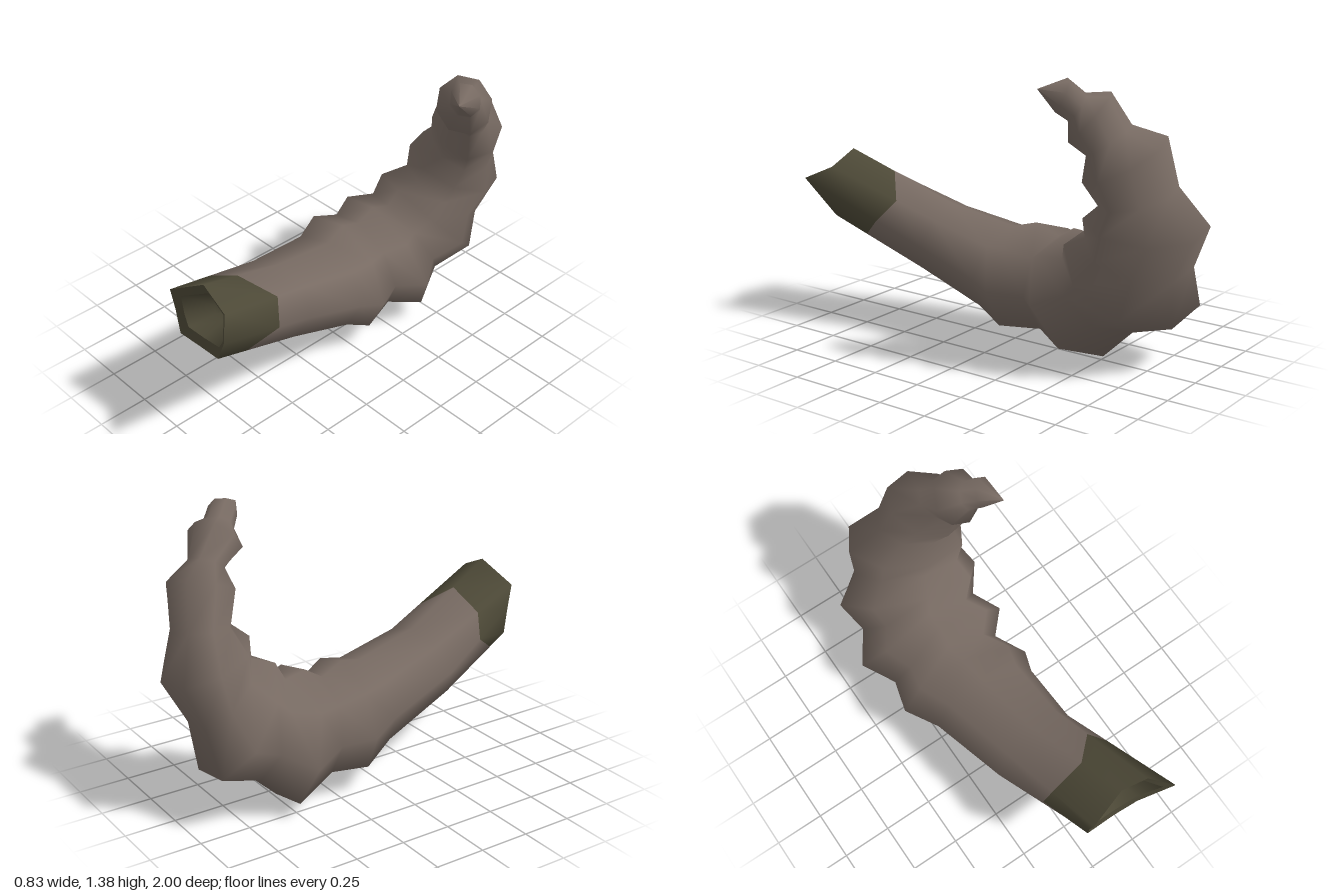
import * as THREE from 'three';

const SIDES = 8;
const hornColour = new THREE.MeshStandardMaterial({ color: 0x776a62 });
hornColour.name = 'horn brown';
const rimColour = new THREE.MeshStandardMaterial({ color: 0x4d4937 });
rimColour.name = 'rim olive';

// Each ring: inner-curve z, y, outer-curve z, y, centre x, then the sideways half axis x, y, z.
const RINGS = [
  [0.36, 0.64, 0.46, 0.28, 0.03, 0.225, 0, -0.03],
  [0.02, 0.57, 0.08, 0.145, -0.01, 0.275, 0, 0.01],
  [-0.1, 0.6, -0.08, 0.06, -0.035, 0.34, 0, 0.04],
  [-0.22, 0.55, -0.28, 0.085, -0.05, 0.28, 0, 0.04],
  [-0.31, 0.605, -0.485, 0.003, -0.04, 0.375, 0.02, 0.075],
  [-0.41, 0.575, -0.65, 0.16, -0.03, 0.285, 0.01, 0.08],
  [-0.45, 0.66, -0.87, 0.23, -0.005, 0.345, 0.02, 0.1],
  [-0.55, 0.69, -0.89, 0.46, 0.04, 0.26, 0, 0.08],
  [-0.54, 0.79, -1.0, 0.67, 0.07, 0.28, -0.02, 0.07],
  [-0.61, 0.85, -0.91, 0.87, 0.13, 0.185, -0.04, 0.03],
  [-0.55, 0.97, -0.89, 1.09, 0.185, 0.19, -0.075, 0.02],
  [-0.58, 1.07, -0.75, 1.16, 0.23, 0.11, -0.045, 0.01],
  [-0.49, 1.12, -0.69, 1.31, 0.27, 0.13, -0.05, -0.03],
  [-0.5, 1.21, -0.6, 1.31, 0.31, 0.065, -0.03, -0.03],
  [-0.46, 1.25, -0.54, 1.375, 0.355, 0.06, -0.035, -0.035],
  [-0.405, 1.335, -0.405, 1.335, 0.4, 0, 0, 0],
];

const points = (list) => list.map((p) => new THREE.Vector3(...p));

// Ragged mouth edge, clockwise from the top as seen from the front
const rimOuter = points([
  [0.15, 0.87, 0.9], [0.3, 0.8, 0.91], [0.4, 0.75, 1.0], [0.26, 0.54, 0.93],
  [0.13, 0.52, 0.92], [-0.02, 0.51, 0.92], [-0.03, 0.65, 0.93], [-0.03, 0.77, 0.95],
]);
const rimInner = points([
  [0.17, 0.83, 0.89], [0.28, 0.78, 0.9], [0.355, 0.72, 0.97], [0.26, 0.6, 0.92],
  [0.14, 0.575, 0.91], [0.03, 0.57, 0.91], [0.02, 0.65, 0.92], [0.02, 0.75, 0.93],
]);

// Turns the ring table into loops of points lying across the horn's path
function hornLoops() {
  return RINGS.map(([zi, yi, zo, yo, x, ...axis]) => {
    const centre = new THREE.Vector3(x, (yi + yo) / 2, (zi + zo) / 2);
    const up = new THREE.Vector3(0, (yi - yo) / 2, (zi - zo) / 2);
    const side = new THREE.Vector3(...axis);
    return Array.from({ length: SIDES }, (_, k) => {
      const a = (k / SIDES) * Math.PI * 2;
      return centre.clone()
        .addScaledVector(up, Math.cos(a)).addScaledVector(side, Math.sin(a));
    });
  });
}

// Skins a series of loops with smooth normals
function loft(loops) {
  const index = [];
  for (let i = 0; i < loops.length - 1; i++) {
    for (let k = 0; k < SIDES; k++) {
      const a = i * SIDES + k;
      const b = i * SIDES + ((k + 1) % SIDES);
      index.push(a, b, b + SIDES, a, b + SIDES, a + SIDES);
    }
  }
  const geometry = new THREE.BufferGeometry().setFromPoints(loops.flat());
  geometry.setIndex(index);
  geometry.computeVertexNormals();
  return geometry;
}

export function createModel() {
  const group = new THREE.Group();
  group.name = 'curvedHorn';
  const add = (name, geometry, material) => {
    const mesh = new THREE.Mesh(geometry, material);
    mesh.name = name;
    group.add(mesh);
  };

  // Outer skin: the dark end meets the horn along an uneven edge
  const loops = hornLoops();
  const reach = [0.58, 0.36, 0.38, 0.64, 0.78, 0.75, 0.5, 0.54];
  const edge = rimOuter.map((p, k) => loops[0][k].clone().lerp(p, reach[k]));
  const skin = loft([rimOuter, edge, ...loops]);
  const bandCount = SIDES * 6;
  skin.addGroup(0, bandCount, 0);
  skin.addGroup(bandCount, skin.index.count - bandCount, 1);
  add('hornSkin', skin, [rimColour, hornColour]);

  // Flat lip between outer and inner mouth edges
  add('mouthLip', loft([rimInner, rimOuter]), rimColour);

  // Bowl-shaped hollow inside the mouth
  const floor = new THREE.Vector3(0.15, 0.66, 0.74);
  const deep = rimInner.map((p) => {
    const q = p.clone().lerp(floor, 0.4);
    q.z = 0.79;
    return q;
  });
  add('mouthHollow', loft([rimInner.map(() => floor), deep, rimInner]), rimColour);

  return group;
}
